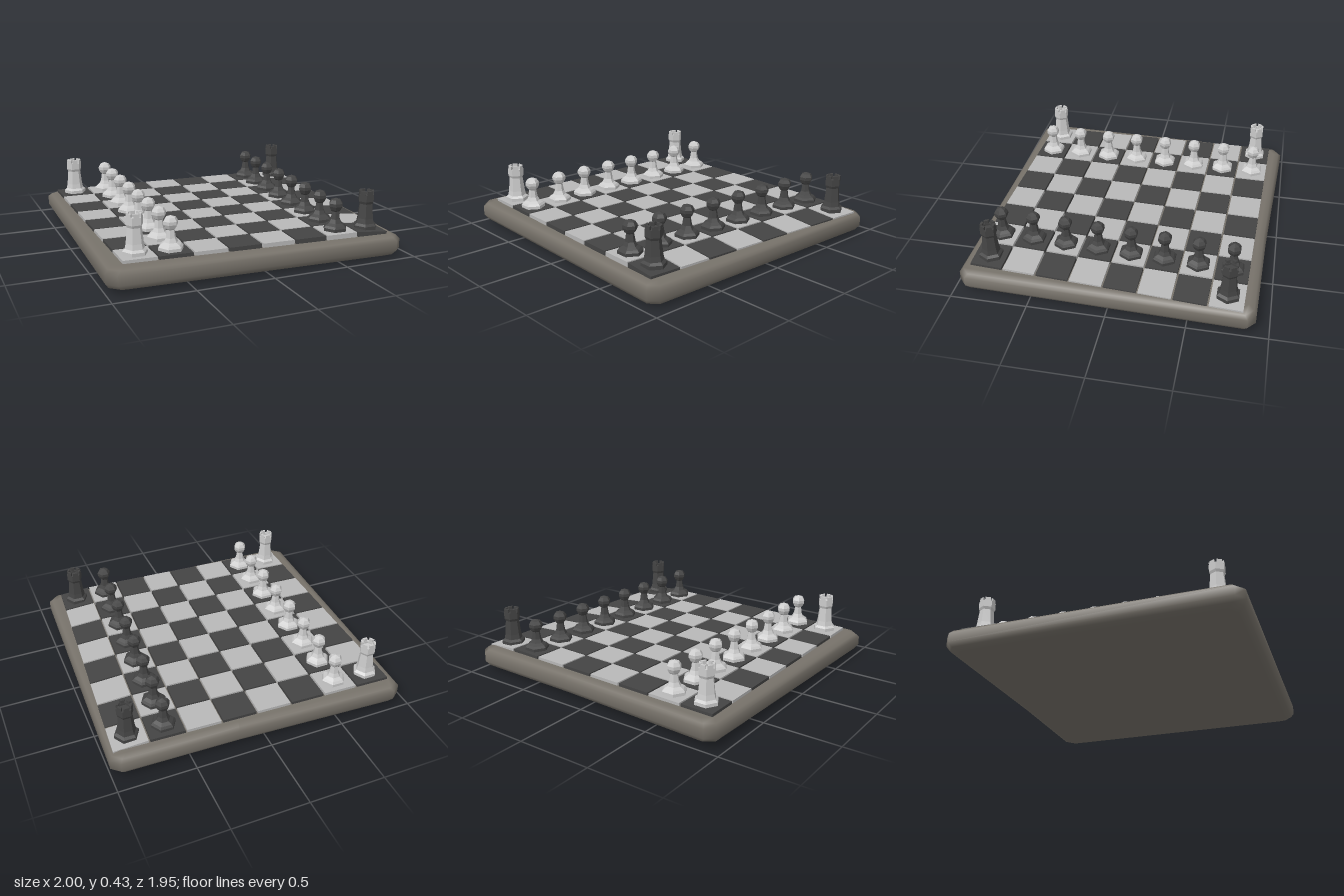
import * as THREE from 'three';

const mat = (color, flatShading = false) => new THREE.MeshStandardMaterial({ color, flatShading });
const lerp = THREE.MathUtils.lerp;

// Uneven playing field: u runs along x, v along z, blended between four corners
const NW = [-0.893, -0.893], NE = [0.973, -0.84], SW = [-0.893, 0.845], SE = [0.85, 0.91];
const fieldAt = (u, v) => [0, 1].map(k => lerp(lerp(NW[k], NE[k], u), lerp(SW[k], SE[k], u), v));
// The last file sags a little
const fieldY = u => 0.182 - 0.018 * Math.max(0, (u - 0.87) / 0.13);

// Rounded, slightly crooked slab built from scaled outline loops
function boardGeometry() {
  const outline = [
    [-0.89, -0.98], [-0.95, -0.935], [-1, 0.87], [-0.94, 0.925],
    [0.88, 0.97], [0.935, 0.92], [1, -0.865], [0.945, -0.915], [0.19, -0.93],
  ];
  const profile = [[0.065, 0.018], [0.022, 0.037], [0, 0.068], [0, 0.128], [0.02, 0.15], [0.055, 0.164]];
  const pos = [], index = [], n = outline.length;
  const put = (x, y, z) => pos.push(x, y - 0.018 * Math.max(0, x + 1) * Math.max(0, z + 1) / 4, z);
  for (const [inset, y] of profile)
    for (const [x, z] of outline) put(x * (1 - inset), y, z * (1 - inset));
  const last = (profile.length - 1) * n;
  const low = pos.length / 3, high = low + 1;
  put(0, 0.018, 0);
  put(0, 0.164, 0);
  for (let i = 0; i < n; i++) {
    const j = (i + 1) % n;
    for (let r = 0; r < last; r += n)
      index.push(r + i, r + j, r + n + j, r + i, r + n + j, r + n + i);
    index.push(low, j, i, high, last + i, last + j);
  }
  const g = new THREE.BufferGeometry();
  g.setAttribute('position', new THREE.Float32BufferAttribute(pos, 3));
  g.setIndex(index);
  g.computeVertexNormals();
  return g;
}

// One square: a box whose corners follow the uneven field
function tileGeometry(i, j) {
  const g = new THREE.BoxGeometry(0.95, 1, 0.95);
  const p = g.attributes.position;
  for (let k = 0; k < p.count; k++) {
    const u = (i + 0.5 + p.getX(k)) / 8, v = (j + 0.5 + p.getZ(k)) / 8;
    const [x, z] = fieldAt(u, v);
    p.setXYZ(k, x, fieldY(u) - (p.getY(k) < 0 ? 0.035 : 0), z);
  }
  g.computeVertexNormals();
  return g;
}

// Six-sided turned body with corners on the x axis
const turned = points =>
  new THREE.LatheGeometry(points.map(p => new THREE.Vector2(...p)), 6).rotateY(Math.PI / 6);

const pawnBody = turned([
  [0, 0], [0.08, 0], [0.08, 0.022], [0.068, 0.036], [0.045, 0.05], [0.032, 0.075], [0.024, 0.125],
  [0.034, 0.134], [0.046, 0.158], [0.046, 0.178], [0.032, 0.2], [0, 0.212],
]);
const rookBody = turned([
  [0, 0], [0.078, 0], [0.078, 0.024], [0.062, 0.038], [0.055, 0.07], [0.045, 0.165],
  [0.053, 0.182], [0.053, 0.228], [0.033, 0.228], [0.033, 0.215], [0, 0.215],
]);
// Battlement block, wider on its outer side
const merlon = new THREE.ExtrudeGeometry(
  new THREE.Shape([[-0.011, 0.031], [0.011, 0.031], [0.018, 0.046], [-0.018, 0.046]]
    .map(p => new THREE.Vector2(...p))),
  { depth: 0.024, bevelEnabled: false },
).rotateX(-Math.PI / 2).translate(0, 0.226, 0);

function makePawn(material) {
  const pawn = new THREE.Group();
  const body = new THREE.Mesh(pawnBody, material);
  body.name = 'pawnBody';
  pawn.add(body);
  return pawn;
}

function makeRook(material) {
  const rook = new THREE.Group();
  const body = new THREE.Mesh(rookBody, material);
  body.name = 'rookBody';
  rook.add(body);
  for (let k = 0; k < 6; k++) {
    const block = new THREE.Mesh(merlon, material);
    block.name = 'battlement';
    block.rotation.y = k * Math.PI / 3;
    rook.add(block);
  }
  return rook;
}

export function createModel() {
  const model = new THREE.Group();
  model.name = 'chessSet';

  const board = new THREE.Mesh(boardGeometry(), mat(0x77726a));
  board.name = 'board';
  model.add(board);

  // Chequered squares
  const tiles = new THREE.Group();
  tiles.name = 'squares';
  const darkTile = mat(0x444444), lightTile = mat(0xb8b8b8);
  for (let i = 0; i < 8; i++)
    for (let j = 0; j < 8; j++) {
      const dark = (i + j) % 2 === 0;
      const tile = new THREE.Mesh(tileGeometry(i, j), dark ? darkTile : lightTile);
      tile.name = dark ? 'darkSquare' : 'lightSquare';
      tiles.add(tile);
    }
  model.add(tiles);

  // Two sides: a full file of pawns and two corner rooks each
  const sides = [
    ['light', 0xcccccc, 1, 0],
    ['dark', 0x444444, 6, 7],
  ];
  for (const [side, color, pawnFile, rookFile] of sides) {
    const material = mat(color, true);
    const pieces = new THREE.Group();
    pieces.name = side + 'Pieces';
    const place = (piece, name, i, j) => {
      const u = (i + 0.5) / 8, [x, z] = fieldAt(u, (j + 0.5) / 8);
      piece.name = name;
      piece.position.set(x, fieldY(u) - 0.003, z);
      pieces.add(piece);
    };
    for (let j = 0; j < 8; j++) place(makePawn(material), side + 'Pawn', pawnFile, j);
    for (const j of [0, 7]) place(makeRook(material), side + 'Rook', rookFile, j);
    model.add(pieces);
  }
  return model;
}
